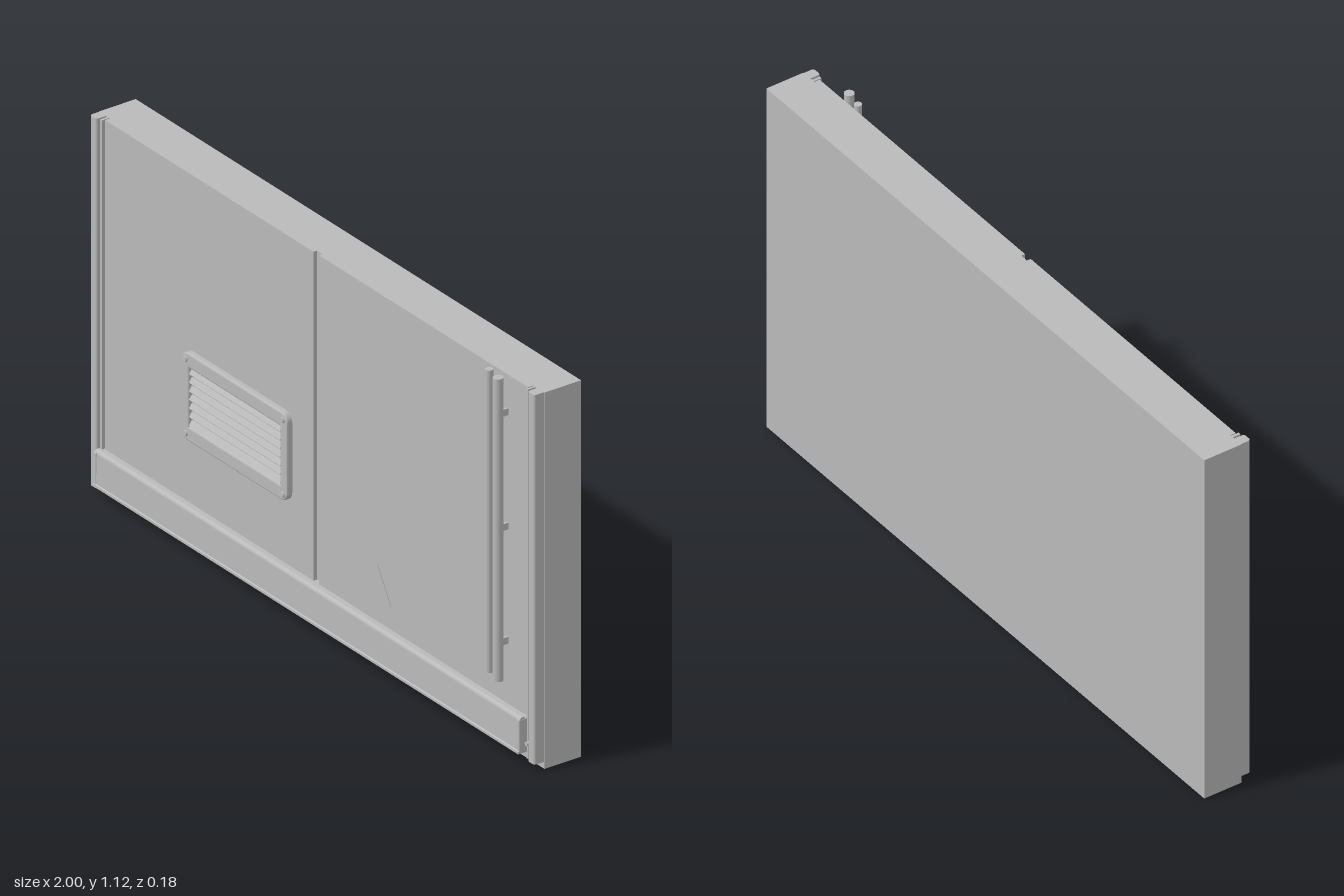
import * as THREE from 'three';
import { RoundedBoxGeometry } from 'three/addons/geometries/RoundedBoxGeometry.js';

const H = 1.12; // wall height

export function createModel() {
  const root = new THREE.Group();
  root.name = 'wallPanel';
  const grey = new THREE.MeshStandardMaterial({ color: 0xbababa });
  grey.name = 'plain grey';

  const add = (name, geometry, parent = root) => {
    const mesh = new THREE.Mesh(geometry, grey);
    mesh.name = name;
    parent.add(mesh);
    return mesh;
  };
  // box given by its limits on each axis
  const box = (name, x0, x1, y0, y1, z0, z1, parent) => {
    const mesh = add(name, new THREE.BoxGeometry(x1 - x0, y1 - y0, z1 - z0), parent);
    mesh.position.set((x0 + x1) / 2, (y0 + y1) / 2, (z0 + z1) / 2);
    return mesh;
  };
  const roundRect = (path, w, h, r) => {
    const x = w / 2, y = h / 2;
    path.moveTo(-x + r, -y);
    path.lineTo(x - r, -y);
    path.absarc(x - r, -y + r, r, -Math.PI / 2, 0);
    path.lineTo(x, y - r);
    path.absarc(x - r, y - r, r, 0, Math.PI / 2);
    path.lineTo(-x + r, y);
    path.absarc(-x + r, y - r, r, Math.PI / 2, Math.PI);
    path.lineTo(-x, -y + r);
    path.absarc(-x + r, -y + r, r, Math.PI, Math.PI * 1.5);
    return path;
  };

  // Solid wall and the two facing panels with a gap between them
  box('wall', -1, 1, 0, H, -0.09, 0.03);
  box('leftFacing', 0.012, 0.95, 0.05, H, 0.03, 0.047);
  box('rightFacing', -0.95, -0.014, 0.05, H, 0.03, 0.047);
  box('jointStrip', -0.014, 0.012, 0.05, H, 0.03, 0.035);

  // Upright edge rails: rounded outer post, groove and inner lip
  for (const side of [-1, 1]) {
    const rail = new THREE.Group();
    rail.name = side > 0 ? 'leftRail' : 'rightRail';
    root.add(rail);
    const profile = new THREE.Shape();
    profile.moveTo(0.998, 0.03);
    profile.lineTo(0.998, 0.053);
    profile.quadraticCurveTo(0.998, 0.062, 0.989, 0.062);
    profile.lineTo(0.976, 0.062);
    profile.quadraticCurveTo(0.968, 0.062, 0.968, 0.054);
    profile.lineTo(0.968, 0.03);
    const post = add('railPost', new THREE.ExtrudeGeometry(profile, { depth: H - 0.02, bevelEnabled: false, curveSegments: 5 }), rail);
    post.rotation.x = Math.PI / 2;
    post.position.y = H;
    if (side < 0) {
      // the profile is shifted to the opposite edge by turning it half round
      post.rotation.set(-Math.PI / 2, 0, Math.PI);
      post.position.set(0, 0.02, 0);
      post.scale.y = 1;
    }
    const [a, b] = side > 0 ? [0.953, 0.961] : [-0.961, -0.953];
    box('railLip', a, b, 0.02, H, 0.03, 0.055, rail);
    const screw = add('railScrew', new THREE.CylinderGeometry(0.006, 0.006, 0.012, 12), rail);
    screw.rotation.x = Math.PI / 2;
    screw.position.set(side * 0.966, 0.07, 0.06);
  }

  // Skirting board with a rounded top and a small lip along the bottom
  const skirt = new THREE.Shape();
  skirt.moveTo(0.03, 0.04);
  skirt.lineTo(0.083, 0.04);
  skirt.lineTo(0.083, 0.047);
  skirt.lineTo(0.08, 0.05);
  skirt.lineTo(0.078, 0.137);
  skirt.quadraticCurveTo(0.077, 0.146, 0.068, 0.147);
  skirt.lineTo(0.062, 0.147);
  skirt.lineTo(0.062, 0.141);
  skirt.lineTo(0.03, 0.141);
  const board = add('skirtingBoard', new THREE.ExtrudeGeometry(skirt, { depth: 1.91, bevelEnabled: false, curveSegments: 5 }));
  board.rotation.y = -Math.PI / 2;
  board.position.x = 0.955;

  // Ventilation grille: bevelled frame, slats, inner edge and screws
  const vent = new THREE.Group();
  vent.name = 'ventGrille';
  vent.position.set(-0.345, 0.467, 0.047);
  root.add(vent);
  const frame = roundRect(new THREE.Shape(), 0.462, 0.252, 0.022);
  frame.holes.push(roundRect(new THREE.Path(), 0.42, 0.185, 0.004));
  add('ventFrame', new THREE.ExtrudeGeometry(frame, {
    depth: 0.013, bevelThickness: 0.005, bevelSize: 0.005, bevelSegments: 2, curveSegments: 5,
  }), vent);
  for (let i = 0; i < 7; i++) {
    const slat = add('ventSlat', new THREE.BoxGeometry(0.408, 0.018, 0.006), vent);
    slat.position.set(0, -0.077 + i * 0.0255, 0.01);
    slat.rotation.x = -0.6;
  }
  for (const x of [-0.218, 0.218]) for (const y of [-0.111, 0.111]) {
    const screw = add('ventScrew', new THREE.CylinderGeometry(0.008, 0.009, 0.006, 14), vent);
    screw.rotation.x = Math.PI / 2;
    screw.position.set(x, y, 0.02);
  }

  // Two vertical pipes, each with a narrow backing strip
  for (const [x, r, z] of [[0.804, 0.011, 0.068], [0.857, 0.0145, 0.077]]) {
    const pipe = add('pipe', new THREE.CylinderGeometry(r, r, H - 0.22, 20));
    pipe.position.set(x, (H + 0.22) / 2, z);
  }
  for (let i = 0; i < 3; i++) {
    const y = 0.32 + i * 0.34;
    box('pipeClip', 0.8, 0.808, y, y + 0.02, 0.046, 0.062);
    box('pipeClip', 0.853, 0.861, y, y + 0.02, 0.046, 0.066);
  }

  // Thin triangular sign plate
  const triangle = new THREE.Shape([[-0.06, 0], [0.06, 0], [0, 0.102]].map(p => new THREE.Vector2(...p)));
  const sign = add('signPlate', new THREE.ExtrudeGeometry(triangle, { depth: 0.003, bevelEnabled: false }));
  sign.position.set(0.276, 0.21, 0.047);

  // Rounded end caps of the skirting board
  for (const side of [-1, 1]) {
    const cap = add('skirtingCap', new RoundedBoxGeometry(0.012, 0.1, 0.03, 2, 0.004));
    cap.position.set(side * 0.95, 0.092, 0.066);
  }
  return root;
}
